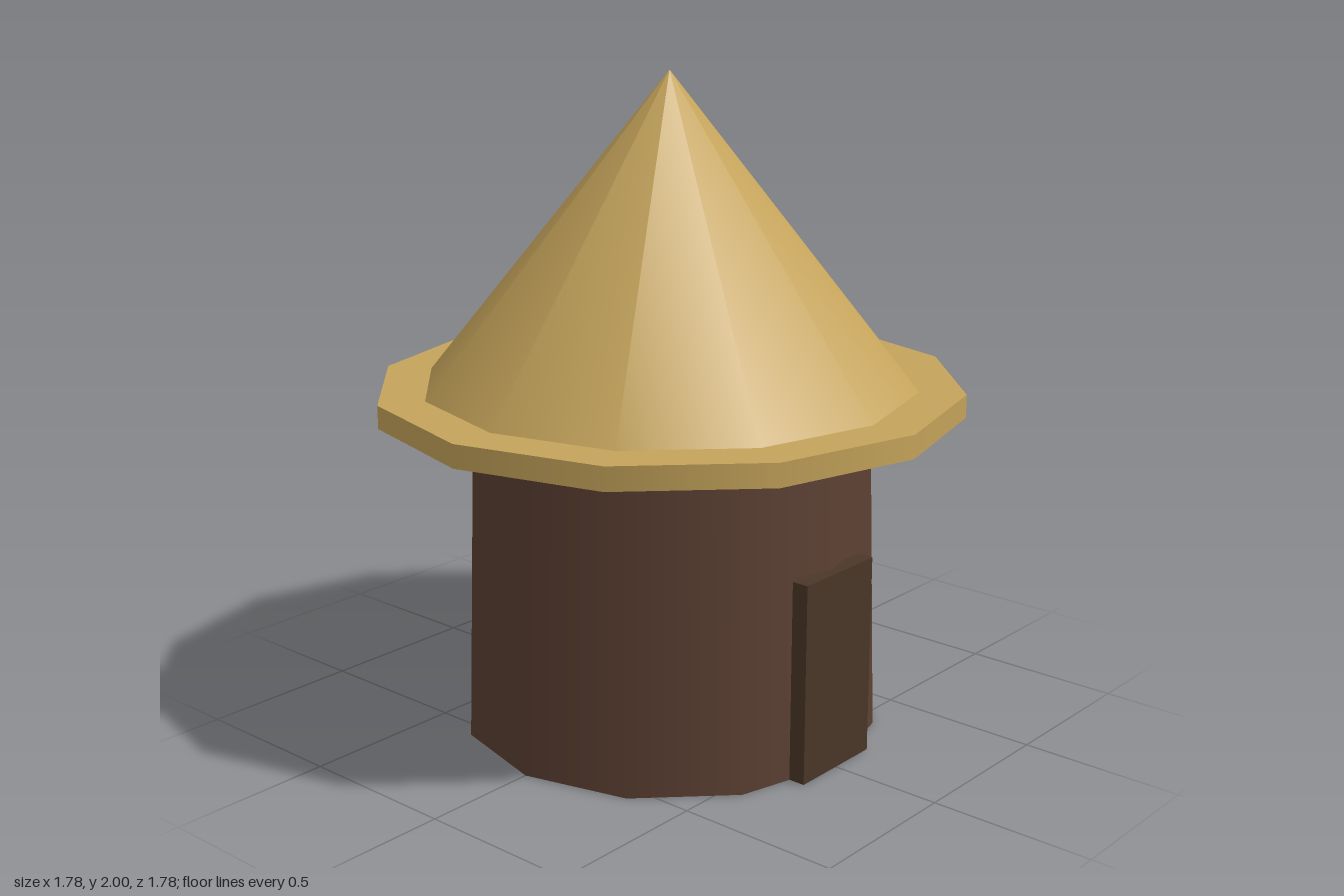
import * as THREE from 'three';

const SIDES = 12;

export function createModel() {
  const hut = new THREE.Group();
  hut.name = 'hut';

  const thatch = new THREE.MeshStandardMaterial({ color: 0xc4a35a });
  const mud = new THREE.MeshStandardMaterial({ color: 0x5c4033 });
  const wood = new THREE.MeshStandardMaterial({ color: 0x4a3728 });

  const add = (name, geometry, material, y, z = 0) => {
    const mesh = new THREE.Mesh(geometry, material);
    mesh.name = name;
    mesh.position.set(0, y, z);
    hut.add(mesh);
  };

  // Slightly tapered round wall
  add('wall', new THREE.CylinderGeometry(0.61, 0.643, 1, SIDES), mud, 0.5);

  // Flat eave ring and the cone resting on it
  add('eave', new THREE.CylinderGeometry(0.89, 0.89, 0.07, SIDES), thatch, 1.035);
  add('roof', new THREE.ConeGeometry(0.75, 0.93, SIDES), thatch, 1.535);

  // Door slab set into the front of the wall
  add('door', new THREE.BoxGeometry(0.314, 0.614, 0.052), wood, 0.307, 0.626);

  return hut;
}
